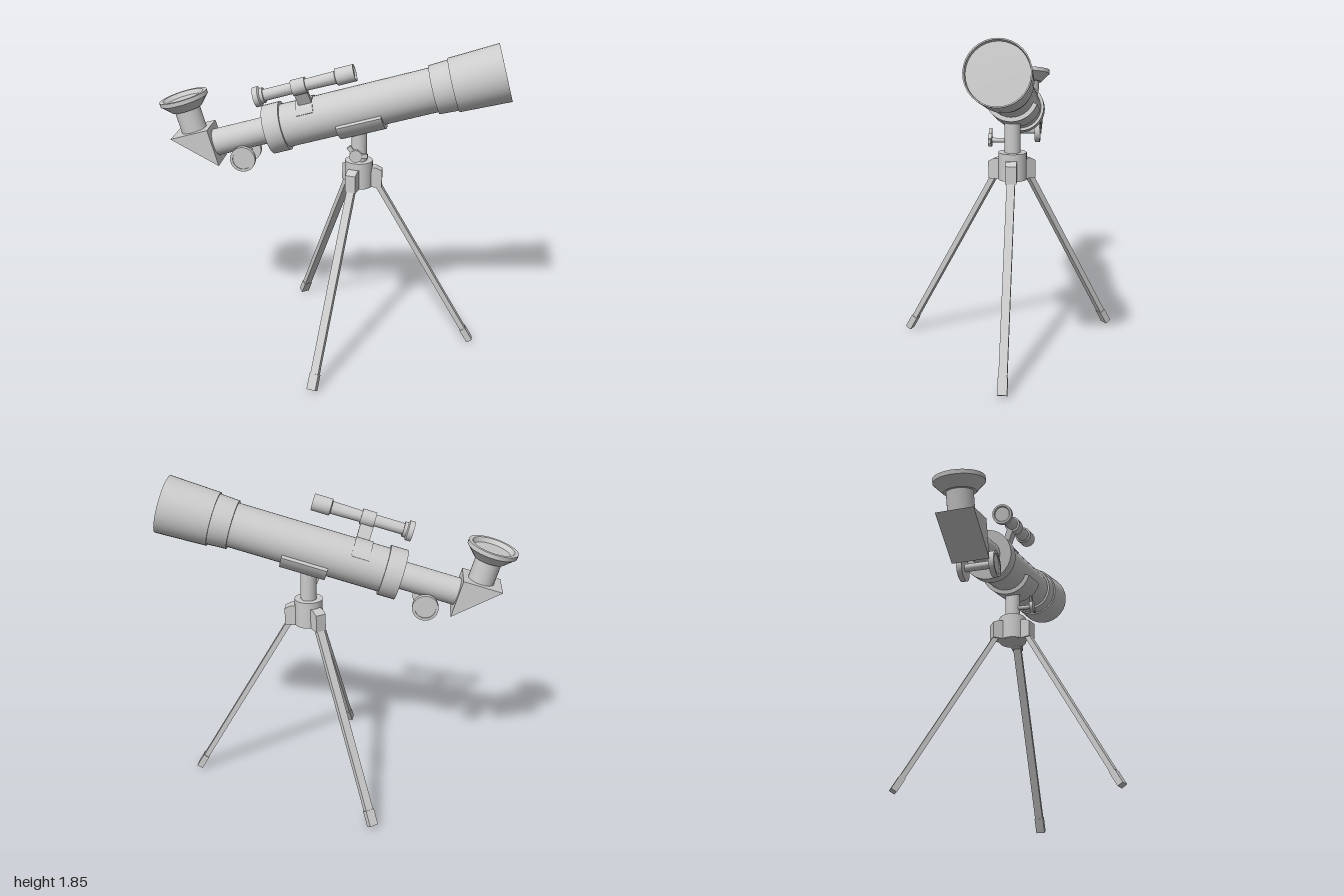
import * as THREE from 'three';
import { toCreasedNormals } from 'three/addons/utils/BufferGeometryUtils.js';

const material = new THREE.MeshStandardMaterial({ color: 0xcccccc });

function add(parent, name, geometry, x = 0, y = 0, z = 0) {
  const mesh = new THREE.Mesh(geometry, material);
  mesh.name = name;
  mesh.position.set(x, y, z);
  parent.add(mesh);
  return mesh;
}

// Turned part from [radius, height] pairs, bottom to top
function turned(profile, sides = 32) {
  const points = profile.map(([r, h]) => new THREE.Vector2(r, h));
  return toCreasedNormals(new THREE.LatheGeometry(points, sides), 0.5);
}

// Turned part lying along +x
const turnedX = (profile, sides) => turned(profile, sides).rotateZ(-Math.PI / 2);

// Curved plate around the x axis, between two angles measured from +z towards +y
function shell(inner, outer, from, to, length) {
  const shape = new THREE.Shape();
  shape.absarc(0, 0, outer, from, to, false);
  shape.absarc(0, 0, inner, to, from, true);
  const geometry = new THREE.ExtrudeGeometry(shape, { depth: length, bevelEnabled: false, curveSegments: 24 });
  return toCreasedNormals(geometry.rotateY(Math.PI / 2), 0.5);
}

function prism(corners, width) {
  const shape = new THREE.Shape(corners.map(([x, y]) => new THREE.Vector2(x, y)));
  return new THREE.ExtrudeGeometry(shape, { depth: width, bevelEnabled: false }).translate(0, 0, -width / 2);
}

// Optical tube, built along +x from the back of the rear collar
function buildTube() {
  const tube = new THREE.Group();
  tube.name = 'opticalTube';

  add(tube, 'drawTube', turnedX([[0, -0.34], [0.078, -0.34], [0.078, 0.02], [0, 0.02]]));
  add(tube, 'mainTube', turnedX([
    [0, 0], [0.143, 0], [0.143, 0.1], [0.126, 0.1], [0.126, 0.97],
    [0.139, 0.97], [0.144, 1.07], [0.144, 1.08],
  ]));
  add(tube, 'dewShield', turnedX([
    [0.13, 1.08], [0.153, 1.08], [0.164, 1.372], [0.157, 1.372], [0.155, 1.34], [0, 1.345],
  ]));

  // Mirror box and eyepiece
  add(tube, 'diagonalPrism', prism([[-0.325, 0.105], [-0.55, 0.105], [-0.325, -0.115]], 0.21));
  add(tube, 'eyepiece', turned([
    [0, 0.09], [0.074, 0.09], [0.074, 0.235], [0.09, 0.235], [0.138, 0.285],
    [0.142, 0.288], [0.142, 0.312], [0.12, 0.312], [0.104, 0.288], [0, 0.288],
  ]), -0.43);

  // Focus knobs on a cross shaft
  const focus = new THREE.Group();
  focus.name = 'focuser';
  focus.position.set(-0.177, -0.11, 0);
  tube.add(focus);
  add(focus, 'focusShaft', new THREE.CylinderGeometry(0.022, 0.022, 0.19, 16).rotateX(Math.PI / 2));
  for (const side of [1, -1]) {
    const knob = turned([
      [0, 0], [0.073, 0], [0.073, 0.03], [0.058, 0.03], [0.058, 0.024], [0, 0.024],
    ]).rotateX(side * Math.PI / 2);
    add(focus, 'focusKnob', knob, 0, 0, side * 0.076);
  }

  // Finder scope, leaning to one side of the tube
  add(tube, 'finderSaddle', shell(0.12, 0.132, Math.PI / 6, Math.PI * 5 / 6, 0.1), 0.2);
  const mount = new THREE.Group();
  mount.name = 'finderMount';
  mount.rotation.x = 0.437;
  tube.add(mount);
  add(mount, 'finderStem', new THREE.BoxGeometry(0.075, 0.1, 0.035), 0.26, 0.168, 0);
  add(mount, 'finderScope', turnedX([
    [0, 0.006], [0.042, 0.006], [0.046, 0], [0.057, 0], [0.057, 0.03], [0.044, 0.036], [0.044, 0.055],
    [0.033, 0.055], [0.033, 0.22], [0.045, 0.22], [0.045, 0.3], [0.033, 0.3], [0.036, 0.47],
    [0.048, 0.475], [0.048, 0.58], [0.042, 0.58], [0.042, 0.57], [0, 0.57],
  ], 24), 0.005, 0.248, 0);

  // Half-round cradle under the tube
  add(tube, 'cradle', shell(0.124, 0.15, Math.PI + 0.35, Math.PI * 2 - 0.35, 0.262), 0.4);
  return tube;
}

function buildTripod() {
  const tripod = new THREE.Group();
  tripod.name = 'tripod';
  add(tripod, 'hub', new THREE.CylinderGeometry(0.08, 0.08, 0.155, 32), 0, 1.078, 0);
  add(tripod, 'column', new THREE.CylinderGeometry(0.045, 0.045, 0.2, 24), 0, 1.235, 0);

  // Wing screw locking the column
  const screw = new THREE.Group();
  screw.name = 'wingScrew';
  screw.position.set(-0.01, 1.22, 0.035);
  tripod.add(screw);
  add(screw, 'screwShaft', new THREE.CylinderGeometry(0.013, 0.013, 0.1, 12).rotateX(Math.PI / 2), 0, 0, 0.04);
  add(screw, 'screwHead', new THREE.CylinderGeometry(0.036, 0.036, 0.02, 20).rotateX(Math.PI / 2), 0, 0, 0.09);
  for (const angle of [0.05, 2.2]) {
    const wing = add(screw, 'screwWing', new THREE.BoxGeometry(0.045, 0.026, 0.016),
      Math.cos(angle) * 0.045, Math.sin(angle) * 0.045, 0.09);
    wing.rotation.z = angle;
  }

  // Splayed legs: compass angle of each and how far its foot reaches
  for (const [angle, reach] of [[0, 0.69], [1.878, 0.677], [-2.195, 0.684]]) {
    const leg = new THREE.Group();
    leg.name = 'leg';
    leg.rotation.y = -angle;
    tripod.add(leg);
    add(leg, 'legBracket', prism([[0.05, 1], [0.135, 1], [0.135, 1.1], [0.1, 1.118], [0.05, 1.118]], 0.062));
    const dx = reach - 0.1, dy = 1.02;
    const length = Math.hypot(dx, dy);
    const strut = new THREE.Group();
    strut.name = 'legStrut';
    strut.position.set(reach, 0.01, 0);
    strut.rotation.z = Math.atan2(dx, dy);
    leg.add(strut);
    add(strut, 'legBar', new THREE.BoxGeometry(0.03, length, 0.046), 0, length / 2, 0);
    add(strut, 'foot', new THREE.BoxGeometry(0.036, 0.09, 0.052), 0, 0.045, 0);
  }
  return tripod;
}

export function createModel() {
  const model = new THREE.Group();
  model.name = 'telescope';

  const tripod = buildTripod();
  tripod.position.set(0.15, 0, -0.045);
  model.add(tripod);

  const tube = buildTube();
  tube.position.set(-0.37, 1.317, -0.06);
  tube.rotation.set(0, -0.02, 0.276);
  model.add(tube);
  return model;
}
